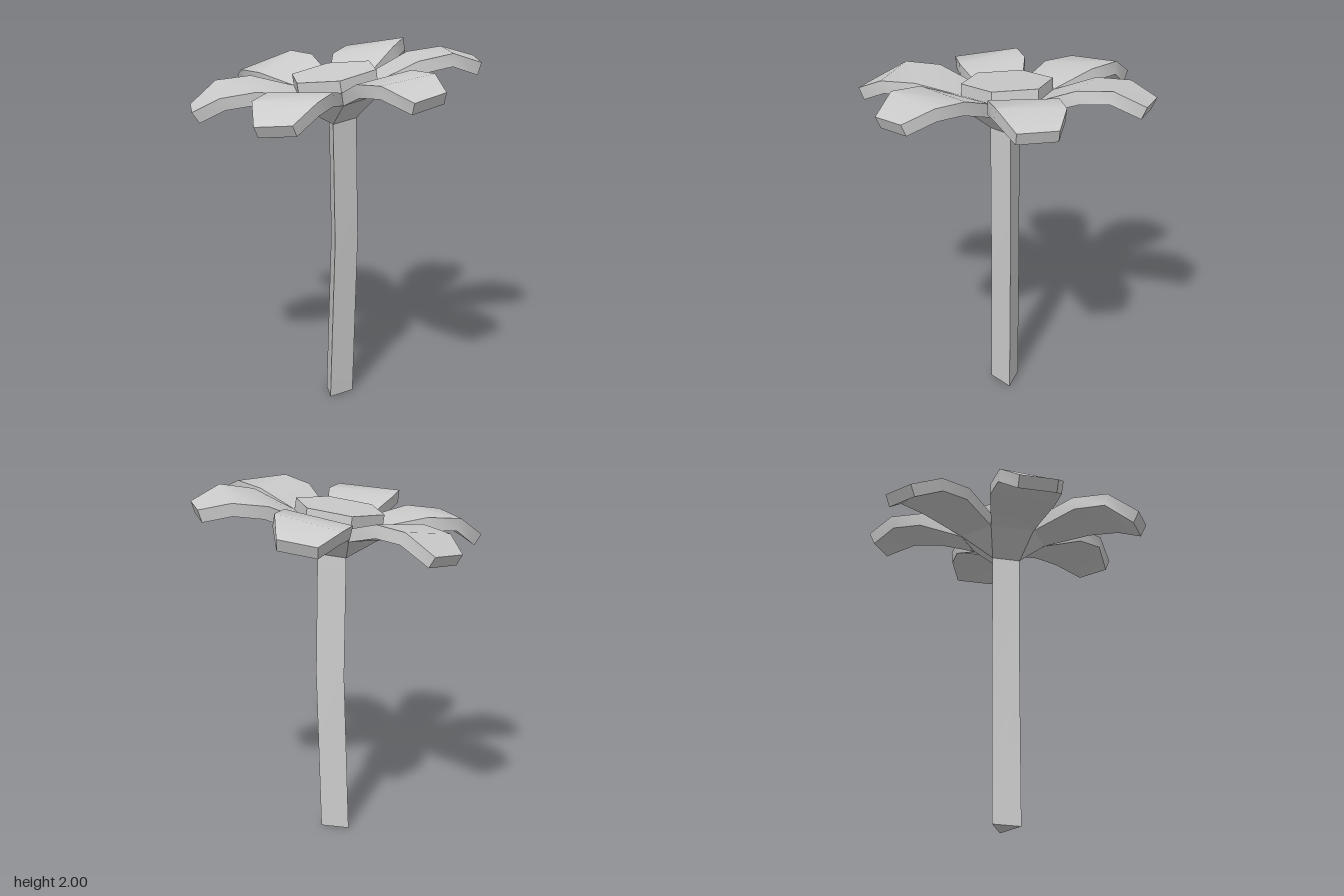
import * as THREE from 'three';
import { toCreasedNormals } from 'three/addons/utils/BufferGeometryUtils.js';

const V = (x, y, z) => new THREE.Vector3(x, y, z);

// Skins a list of equal-length rings and caps both ends.
function loft(rings) {
  const pos = [];
  const tri = (a, b, c) => {
    if (a.distanceTo(b) < 1e-5 || b.distanceTo(c) < 1e-5 || c.distanceTo(a) < 1e-5) return;
    for (const p of [a, b, c]) pos.push(p.x, p.y, p.z);
  };
  const n = rings[0].length;
  for (let k = 0; k + 1 < rings.length; k++) {
    const a = rings[k], b = rings[k + 1];
    for (let i = 0; i < n; i++) {
      const j = (i + 1) % n;
      tri(a[j], a[i], b[i]);
      tri(a[j], b[i], b[j]);
    }
  }
  const last = rings[rings.length - 1];
  for (let i = 1; i + 1 < n; i++) {
    tri(rings[0][0], rings[0][i], rings[0][i + 1]);
    tri(last[0], last[i + 1], last[i]);
  }
  const geo = new THREE.BufferGeometry();
  geo.setAttribute('position', new THREE.Float32BufferAttribute(pos, 3));
  return toCreasedNormals(geo, 0.49);
}

export function createModel() {
  const group = new THREE.Group();
  const grey = new THREE.MeshStandardMaterial({ color: 0xcccccc });
  const add = (name, rings) => {
    const mesh = new THREE.Mesh(loft(rings), grey);
    mesh.name = name;
    group.add(mesh);
  };

  // The flower head leans toward -x around the top of the stem.
  const tilt = new THREE.Matrix4().makeRotationZ(0.145).setPosition(0.01, 1.75, -0.02);
  const up = V(0, 1, 0).transformDirection(tilt);
  const turn = -3 * Math.PI / 180;
  const hexagon = (y) => Array.from({ length: 6 }, (_, i) => {
    const a = turn + (i - 0.5) * Math.PI / 3;
    return V(Math.cos(a) * 0.25, y, Math.sin(a) * 0.25).applyMatrix4(tilt);
  });

  // Three-sided stem with a slight bend
  const section = (shift, y) => [[0.10, -0.02], [-0.035, 0.07], [-0.045, -0.09]]
    .map(([x, z]) => V(x + shift, y ? y + 0.1 * x : 0, z));
  const stemTop = section(0.016, 1.615);
  add('stem', [section(0, 0), section(0.027, 0.93), stemTop]);

  // Calyx: each stem corner fans out to one side of the hexagon
  const fan = stemTop.flatMap((p) => [p, p.clone()]);
  add('calyx', [fan, hexagon(0)]);

  // Hexagonal flower centre
  add('flowerCentre', [hexagon(0), hexagon(0.135)]);

  // Petals: radius, half width, height, twist at each station
  const stations = [
    [0.217, 0.125, 0.07, 0],
    [0.44, 0.186, 0.145, 0.008],
    [0.635, 0.18, 0.149, 0.013],
    [0.795, 0.108, 0.07, 0],
  ];
  const reach = [1, 1, 1.035, 1, 1.01, 1];
  const thickness = 0.072;
  for (let i = 0; i < 6; i++) {
    const angle = turn + i * Math.PI / 3;
    const c = Math.cos(angle), s = Math.sin(angle);
    const pairs = stations.map(([r, w, h, twist], k) => {
      const d = k ? r * reach[i] : r;
      return [-1, 1].map((side) =>
        V(c * d - s * w * side, h + twist * side, s * d + c * w * side).applyMatrix4(tilt));
    });
    const centres = pairs.map(([a, b]) => a.clone().lerp(b, 0.5));
    const rings = pairs.map(([a, b], k) => {
      const before = centres[Math.max(k - 1, 0)], after = centres[Math.min(k + 1, 3)];
      const normal = k === 0 ? up.clone()
        : b.clone().sub(a).cross(after.clone().sub(before)).normalize();
      const drop = normal.multiplyScalar(-thickness);
      return [b, a, a.clone().add(drop), b.clone().add(drop)];
    });
    add('petal' + (i + 1), rings);
  }
  return group;
}
